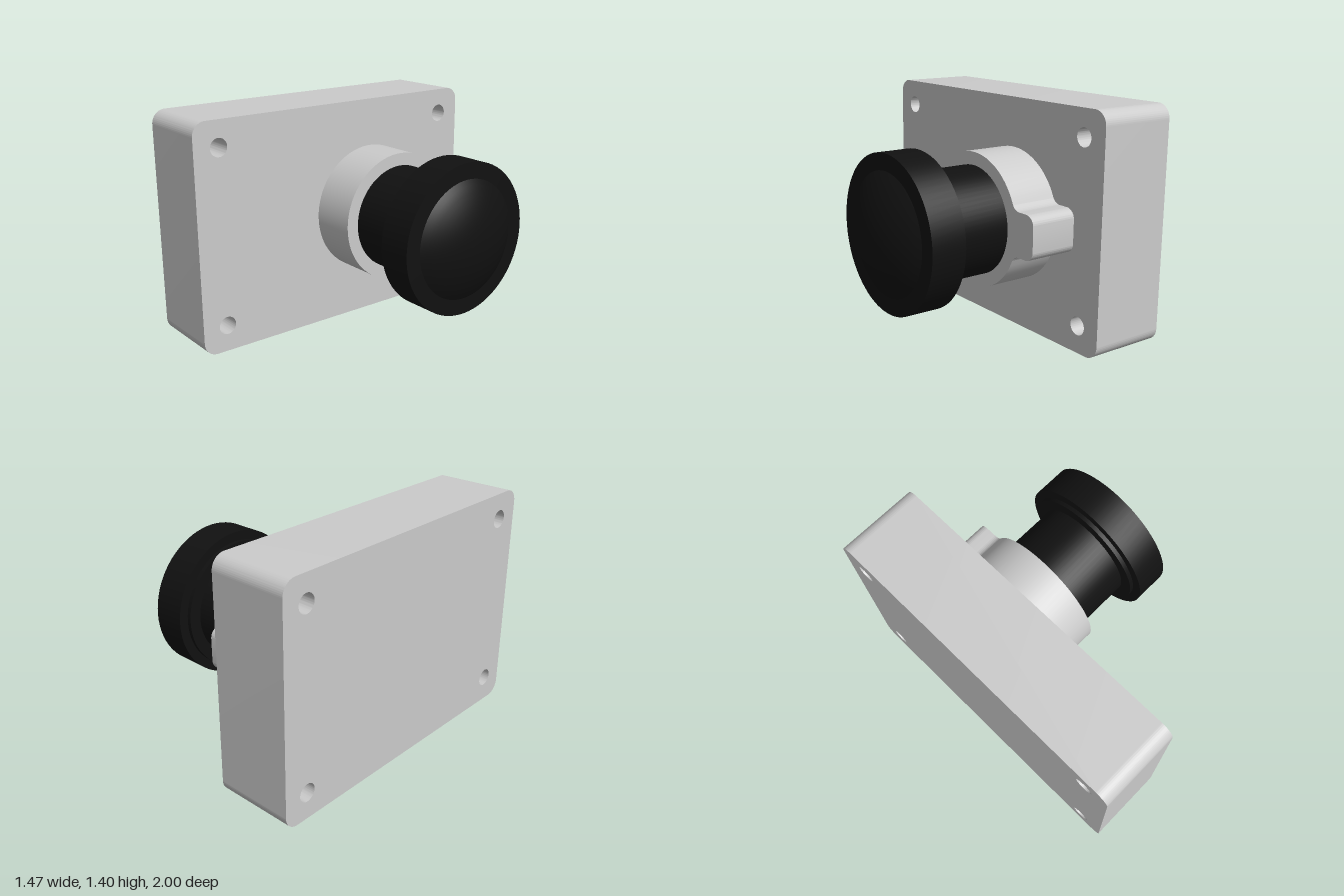
import * as THREE from 'three';
import { toCreasedNormals } from 'three/addons/utils/BufferGeometryUtils.js';

const AXIS_Y = 0.705, AXIS_Z = -0.24; // button axis, running along x
const PI = Math.PI;

// Extrude a profile drawn in (-z, y) along x, from x0 to x1
function extrudeAlongX(shape, x0, x1) {
  const geo = new THREE.ExtrudeGeometry(shape, { depth: x1 - x0, bevelEnabled: false, curveSegments: 32 });
  geo.rotateY(PI / 2).translate(x0, 0, 0);
  return toCreasedNormals(geo, 0.6);
}

// Rounded rectangle with four screw holes
function plateShape() {
  const w = 1, h = 1.405, r = 0.085;
  const s = new THREE.Shape();
  s.absarc(w - r, r, r, -PI / 2, 0);
  s.absarc(w - r, h - r, r, 0, PI / 2);
  s.absarc(-w + r, h - r, r, PI / 2, PI);
  s.absarc(-w + r, r, r, PI, 1.5 * PI);
  s.closePath();
  for (const u of [-0.84, 0.84]) {
    for (const v of [0.163, 1.245]) {
      s.holes.push(new THREE.Path().absarc(u, v, 0.055, 0, 2 * PI, true));
    }
  }
  return s;
}

// Round collar with a side lug, blended by fillets
function collarShape() {
  const R = 0.403, half = 0.13, end = 0.543, f = 0.06;
  const cv = half + f;
  const cu = Math.sqrt((R + f) ** 2 - cv ** 2);
  const a = Math.atan2(cv, cu);
  const s = new THREE.Shape();
  s.absarc(0, 0, R, a, 2 * PI - a);
  s.absarc(cu, -cv, f, PI - a, PI / 2, true);
  s.absarc(end - f, -half + f, f, -PI / 2, 0);
  s.absarc(end - f, half - f, f, 0, PI / 2);
  s.absarc(cu, cv, f, 1.5 * PI, PI + a, true);
  s.closePath();
  return s;
}

// Turned part: profile points are [radius, x]
function turned(profile) {
  const geo = new THREE.LatheGeometry(profile.map(([r, x]) => new THREE.Vector2(r, x)), 72);
  geo.rotateZ(-PI / 2);
  return toCreasedNormals(geo, 0.5);
}

export function createModel() {
  const model = new THREE.Group();
  model.name = 'pushButton';
  const grey = new THREE.MeshStandardMaterial({ color: 0xcccccc });
  const black = new THREE.MeshStandardMaterial({ color: 0x111111 });

  const add = (name, geo, mat, parent) => {
    const mesh = new THREE.Mesh(geo, mat);
    mesh.name = name;
    parent.add(mesh);
  };

  add('mountingPlate', extrudeAlongX(plateShape(), -0.735, -0.25), grey, model);

  // Everything on the button axis
  const button = new THREE.Group();
  button.name = 'button';
  button.position.set(0, AXIS_Y, AXIS_Z);
  model.add(button);

  add('collar', extrudeAlongX(collarShape(), -0.25, 0.045), grey, button);
  add('stem', turned([[0, 0.04], [0.325, 0.04], [0.325, 0.405]]), black, button);

  // Stepped head with a shallow spherical dome
  const head = [[0.32, 0.4], [0.4, 0.4], [0.4, 0.426], [0.458, 0.426], [0.458, 0.637], [0.36, 0.637]];
  const domeR = 0.73, domeTop = 0.734, domeAngle = Math.asin(0.36 / domeR);
  for (let i = 1; i <= 10; i++) {
    const t = domeAngle * (1 - i / 10);
    head.push([domeR * Math.sin(t), domeTop - domeR * (1 - Math.cos(t))]);
  }
  add('mushroomHead', turned(head), black, button);

  return model;
}
